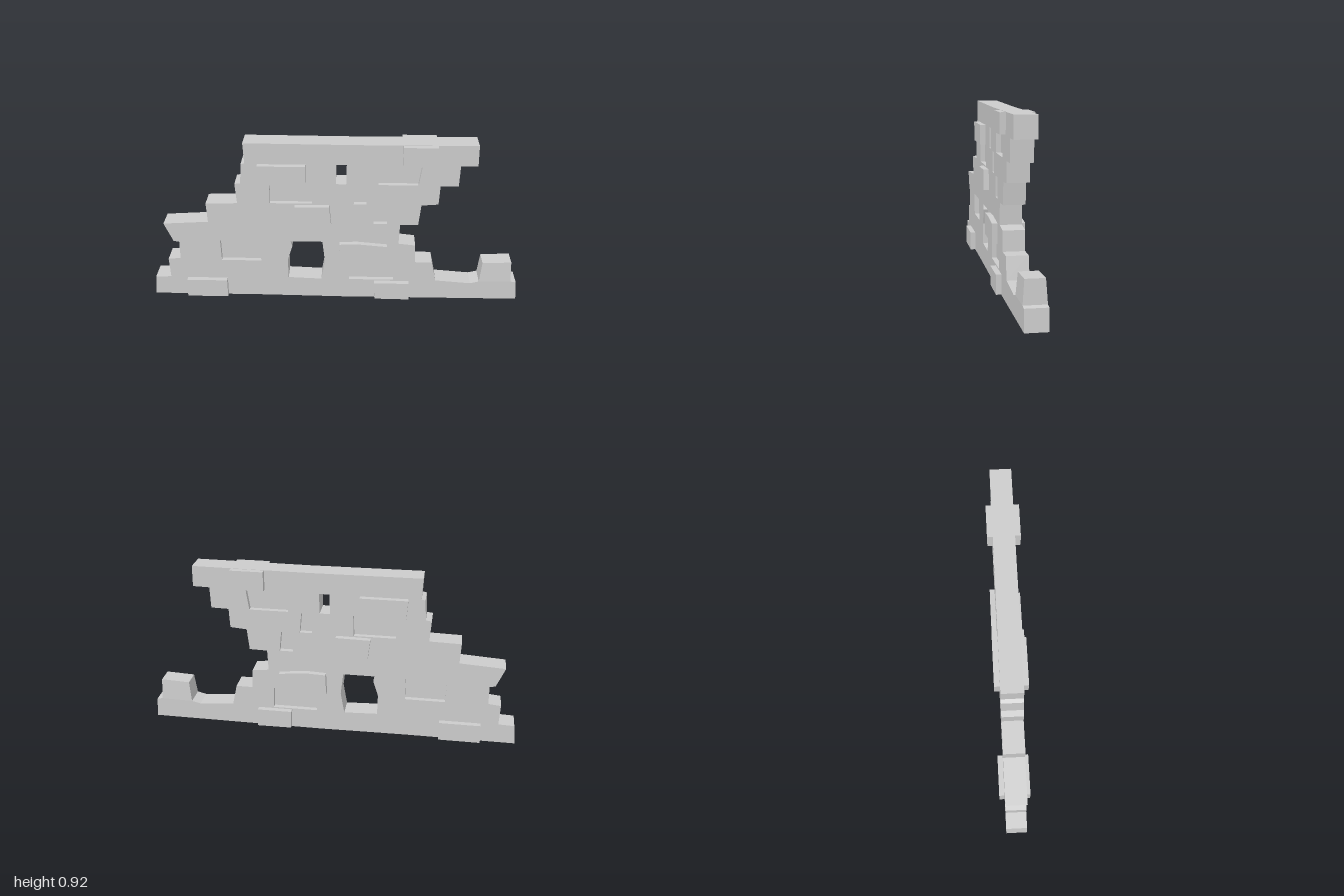
import * as THREE from 'three';

const HALF = 0.056;   // half thickness of the wall
const RAISED = 0.085; // half thickness of protruding bricks
const SUNK = 0.03;    // half thickness of sunken bricks

const toPoints = (list) => list.map(([x, y]) => new THREE.Vector2(x, y));

// Extrude an outline symmetrically about z = 0
function slab(shape, half) {
  const geo = new THREE.ExtrudeGeometry(shape, { depth: half * 2, bevelEnabled: false });
  return geo.translate(0, 0, -half);
}

export function createModel() {
  const group = new THREE.Group();
  const material = new THREE.MeshStandardMaterial({ color: 0xcccccc, flatShading: true });
  const add = (name, geo) => {
    geo.computeVertexNormals();
    const mesh = new THREE.Mesh(geo, material);
    mesh.name = name;
    group.add(mesh);
  };

  // Stepped, broken silhouette of the ruin, counterclockwise from lower left
  const outline = new THREE.Shape(toPoints([
    [-1, 0.005], [-0.4, 0.005], [0.06, 0], [0.998, 0.003],
    [0.99, 0.11], [0.96, 0.115], [0.955, 0.232], [0.8, 0.225], [0.788, 0.112],
    [0.74, 0.1], [0.55, 0.115], [0.525, 0.23], [0.435, 0.23], [0.43, 0.335],
    [0.34, 0.345], [0.345, 0.46], [0.44, 0.462], [0.452, 0.578], [0.54, 0.585],
    [0.545, 0.69], [0.638, 0.692], [0.642, 0.806], [0.73, 0.808], [0.728, 0.92],
    [0.12, 0.917], [-0.47, 0.92], [-0.465, 0.808], [-0.485, 0.803], [-0.492, 0.694],
    [-0.523, 0.69], [-0.515, 0.577], [-0.682, 0.573], [-0.677, 0.463],
    [-0.917, 0.448], [-0.872, 0.342], [-0.842, 0.337], [-0.843, 0.235],
    [-0.91, 0.228], [-0.905, 0.115], [-0.99, 0.112],
  ]));

  // Openings right through the wall
  const openings = [
    [[-0.24, 0.35], [-0.068, 0.35], [-0.055, 0.23], [-0.075, 0.115], [-0.255, 0.122], [-0.257, 0.235], [-0.23, 0.32]],
    [[0.005, 0.805], [0.06, 0.805], [0.058, 0.696], [0.004, 0.696]],
  ];

  // Sunken bricks, visible as pockets on both faces
  const sunken = [
    [[-0.62, 0.348], [-0.402, 0.348], [-0.402, 0.226], [-0.617, 0.226]],
    [[-0.342, 0.693], [-0.118, 0.693], [-0.122, 0.58], [-0.343, 0.58]],
    [[0.226, 0.806], [0.448, 0.806], [0.432, 0.694], [0.224, 0.694]],
    [[0.1, 0.69], [0.155, 0.69], [0.165, 0.58], [0.098, 0.58]],
    [[0.206, 0.575], [0.265, 0.575], [0.276, 0.465], [0.204, 0.465]],
    [[0.08, 0.235], [0.315, 0.235], [0.318, 0.115], [0.077, 0.115]],
  ];

  for (const hole of [...openings, ...sunken]) outline.holes.push(new THREE.Path(toPoints(hole)));
  const wall = slab(outline, HALF);
  // The lone merlon at the low end thins toward its top
  const pos = wall.attributes.position;
  for (let i = 0; i < pos.count; i++) {
    if (pos.getX(i) > 0.75 && pos.getY(i) > 0.2) pos.setZ(i, pos.getZ(i) * 0.85);
  }
  add('wall', wall);

  sunken.forEach((q, i) => add(`sunkenBrick${i + 1}`, slab(new THREE.Shape(toPoints(q)), SUNK)));

  // Protruding bricks, passing through both faces
  const raised = [
    [[-0.815, 0.008], [-0.592, 0.008], [-0.592, 0.112], [-0.812, 0.112]],
    [[0.218, 0.008], [0.406, 0.006], [0.403, 0.108], [0.215, 0.108]],
    [[0.02, 0.236], [0.275, 0.234], [0.278, 0.34], [0.12, 0.354], [0.025, 0.35]],
    [[-0.2, 0.465], [-0.02, 0.465], [-0.03, 0.575], [-0.212, 0.572]],
    [[-0.393, 0.698], [-0.152, 0.698], [-0.152, 0.805], [-0.4, 0.805]],
    [[0.346, 0.812], [0.52, 0.812], [0.522, 0.917], [0.346, 0.917]],
  ];
  raised.forEach((q, i) => add(`raisedBrick${i + 1}`, slab(new THREE.Shape(toPoints(q)), RAISED)));

  return group;
}
